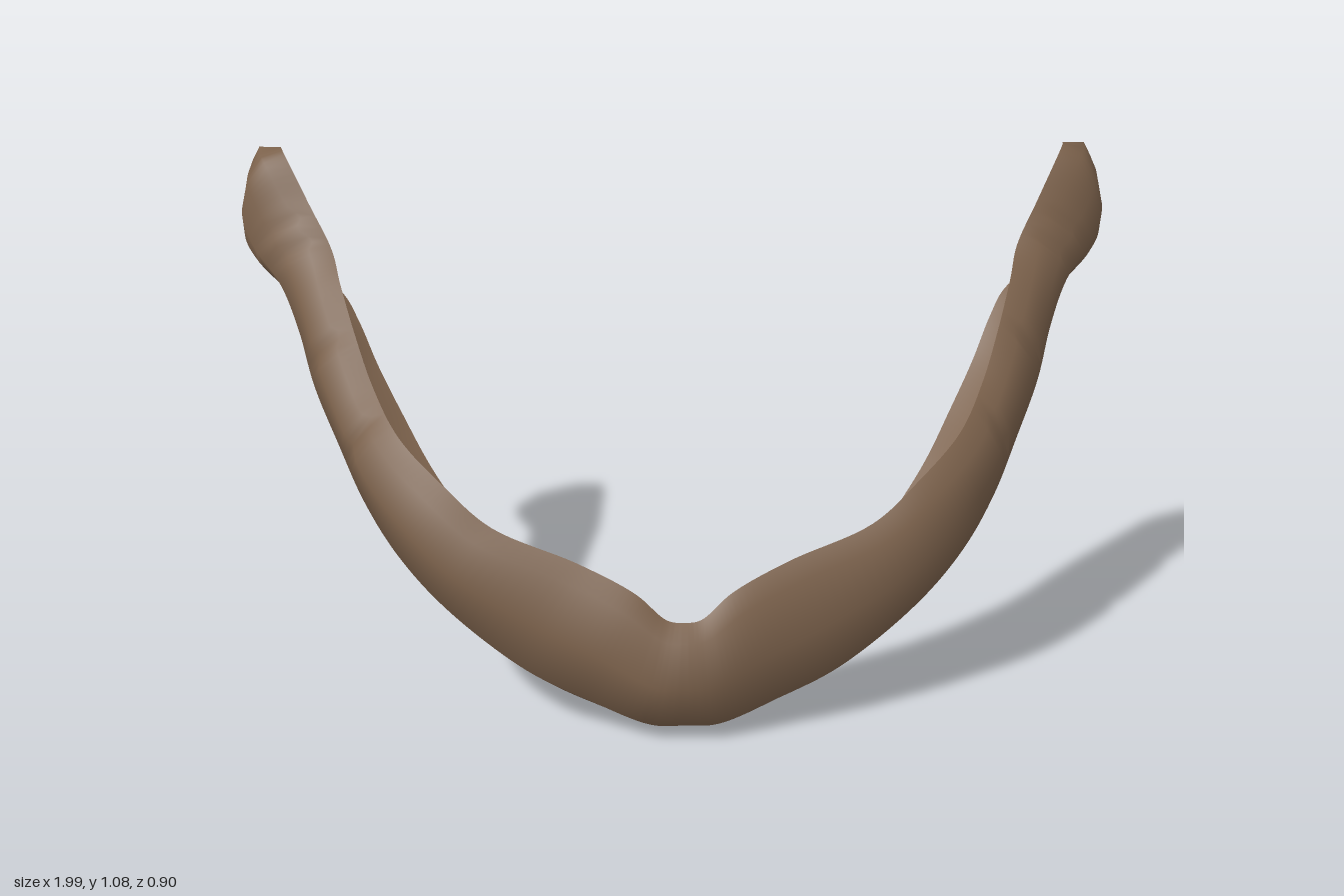
import * as THREE from 'three';
import { toCreasedNormals } from 'three/addons/utils/BufferGeometryUtils.js';

// Half of the band, centre to tip: [upper inner edge], [outer bulge], [lower inner edge]
const STATIONS = [
  [[0, .265, .385], [0, .05, .43], [0, .06, .18]],
  [[.035, .27, .383], [.07, .05, .425], [.06, .067, .185]],
  [[.1, .32, .36], [.2, .09, .388], [.14, .10, .19]],
  [[.22, .37, .315], [.33, .14, .348], [.24, .155, .175]],
  [[.4, .43, .262], [.5, .25, .275], [.37, .25, .12]],
  [[.5, .5, .205], [.605, .34, .20], [.47, .36, .05]],
  [[.6, .575, .115], [.685, .425, .10], [.55, .45, -.03]],
  [[.665, .65, 0], [.748, .52, 0], [.62, .54, -.13]],
  [[.71, .74, -.09], [.81, .62, -.105], [.68, .63, -.21]],
  [[.75, .83, -.185], [.85, .72, -.19], [.725, .715, -.27]],
  [[.775, .89, -.255], [.895, .805, -.26], [.765, .77, -.315]],
  [[.83, .98, -.32], [.97, .885, -.34], [.86, .83, -.365]],
  [[.895, 1.085, -.40], [.995, .95, -.385], [.91, .885, -.425]],
  [[.905, 1.085, -.44], [.975, 1.0, -.445], [.91, .915, -.445]],
];
const THICK = 0.05;
const STEPS = 8;                       // samples between stations
const DENTS = [6.6, 8.2, 10.3, 10.8];  // worn nicks along the upper edge

function guide(k) {
  const half = STATIONS.map(s => new THREE.Vector3(...s[k]));
  const mirrored = half.slice(1).reverse().map(p => new THREE.Vector3(-p.x, p.y, p.z));
  return new THREE.CatmullRomCurve3([...mirrored, ...half]);
}

// One closed section: five outer points downward, five inner points back up
function section(F, M, R, station) {
  const dir = M.clone().sub(F.clone().add(R).multiplyScalar(0.5));
  const depth = dir.length();
  dir.normalize();
  const push = (p, d) => p.clone().addScaledVector(dir, d);
  const nick = DENTS.reduce((s, d) => s + Math.exp(-(((station - d) / 0.12) ** 2)), 0);
  const Fo = push(F, THICK - 0.02 * nick);
  const Ro = push(R, THICK);
  const A = push(Fo.clone().lerp(M, 0.4), 0.16 * depth);
  const B = push(M.clone().lerp(Ro, 0.55), 0.23 * depth);
  return [Fo, A, M, B, Ro, R, push(B, -THICK), push(M, -THICK), push(A, -THICK), F];
}

function bandGeometry() {
  const curves = [0, 1, 2].map(guide);
  const last = STATIONS.length - 1;
  const n = last * 2 * STEPS;
  const ring = 10;
  const pos = [], idx = [];
  for (let i = 0; i <= n; i++) {
    const [F, M, R] = curves.map(c => c.getPoint(i / n));
    section(F, M, R, Math.abs(i / STEPS - last)).forEach(p => pos.push(p.x, Math.max(p.y, 0), p.z));
  }
  for (let i = 0; i < n; i++) {
    for (let j = 0; j < ring; j++) {
      const a = i * ring + j, b = i * ring + (j + 1) % ring;
      idx.push(a, b, a + ring, b, b + ring, a + ring);
    }
  }
  // End caps
  for (let j = 0; j < 4; j++) {
    const e = n * ring;
    idx.push(e + j, e + j + 1, e + 9 - j, e + j + 1, e + 8 - j, e + 9 - j);
    idx.push(j, 9 - j, j + 1, j + 1, 9 - j, 8 - j);
  }
  const g = new THREE.BufferGeometry();
  g.setAttribute('position', new THREE.Float32BufferAttribute(pos, 3));
  g.setIndex(idx);
  return toCreasedNormals(g, 1.1);
}

export function createModel() {
  const group = new THREE.Group();
  group.name = 'curvedBand';
  const brown = new THREE.MeshStandardMaterial({ color: 0x7b614b });
  brown.name = 'brown';
  const band = new THREE.Mesh(bandGeometry(), brown);
  band.name = 'band';
  group.add(band);
  return group;
}
